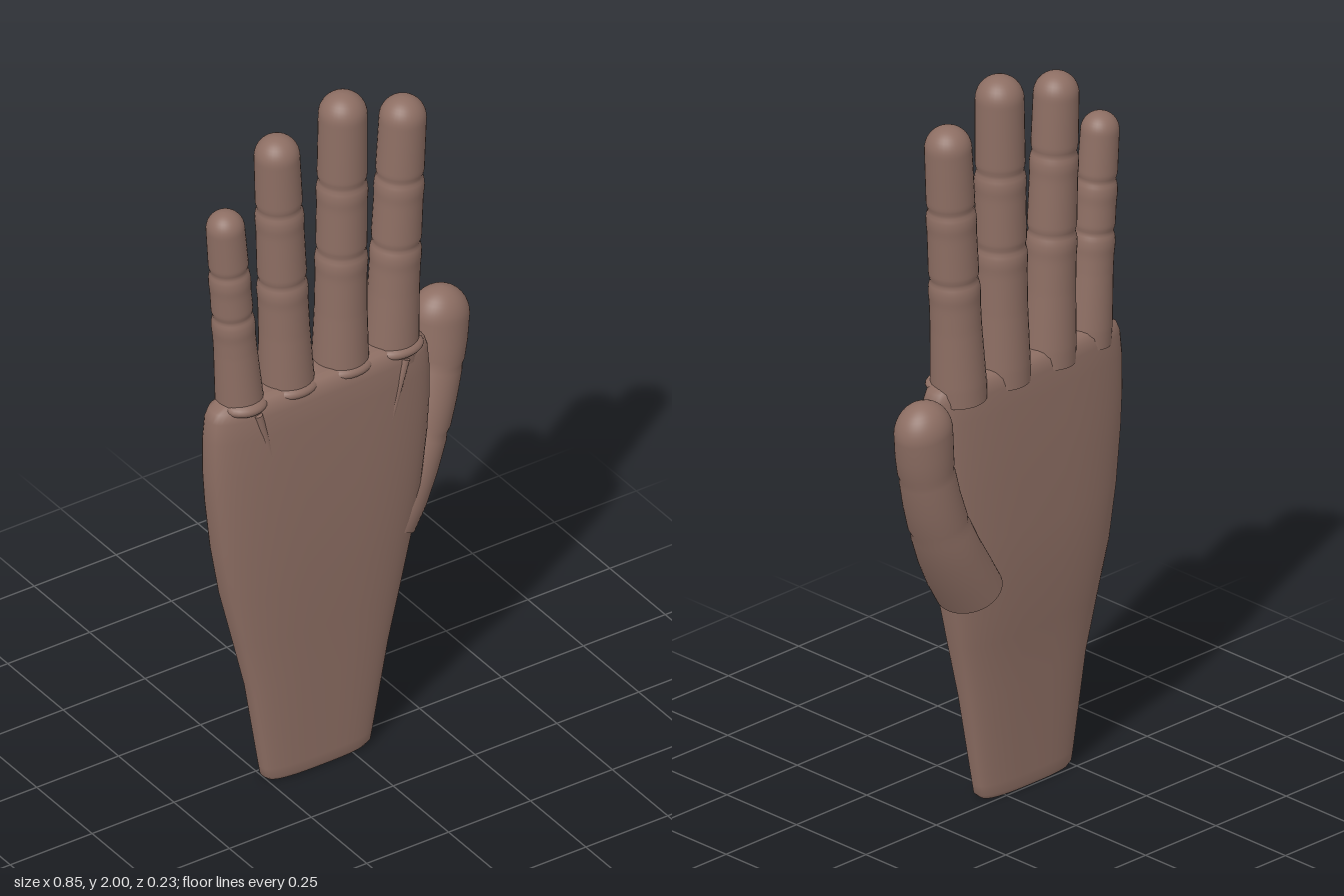
import * as THREE from 'three';

const SEG = 48;

// Skin through superelliptic rings [x, y, z, halfWidth, halfDepth, tilt], flat caps at both ends
function loft(rings, power) {
  const pos = [], idx = [];
  const shape = (t) => Math.sign(t) * Math.pow(Math.abs(t), 2 / power);
  const addRing = ([x, y, z, w, d, tilt = 0]) => {
    for (let j = 0; j < SEG; j++) {
      const a = (j / SEG) * Math.PI * 2;
      const u = shape(Math.cos(a)) * w;
      pos.push(x + u * Math.cos(tilt), y - u * Math.sin(tilt), z + shape(Math.sin(a)) * d);
    }
  };
  rings.forEach(addRing);
  for (let i = 0; i < rings.length - 1; i++) {
    for (let j = 0; j < SEG; j++) {
      const a = i * SEG + j, b = i * SEG + (j + 1) % SEG;
      idx.push(a, a + SEG, b, b, a + SEG, b + SEG);
    }
  }
  [rings[0], rings[rings.length - 1]].forEach((r, end) => {
    const start = pos.length / 3;
    addRing(r);
    pos.push(r[0], r[1], r[2]);
    for (let j = 0; j < SEG; j++) {
      const a = start + j, b = start + (j + 1) % SEG;
      idx.push(start + SEG, end ? b : a, end ? a : b);
    }
  });
  const g = new THREE.BufferGeometry();
  g.setAttribute('position', new THREE.Float32BufferAttribute(pos, 3));
  g.setIndex(idx);
  g.computeVertexNormals();
  return g;
}

// Finger: tapered lathe with two joint creases and a round tip
function fingerGeometry(length, r0, r1, joints) {
  const pts = [];
  const body = length - r1;
  const steps = 90;
  for (let i = 0; i <= steps; i++) {
    const y = -0.05 + (body + 0.05) * i / steps;
    let r = THREE.MathUtils.lerp(r0, r1, Math.max(0, y / body));
    if (y < 0.15) r += 0.004 * (1 - Math.max(0, y) / 0.15);
    for (const c of joints) {
      r -= 0.004 * Math.exp(-(((y - c) / 0.01) ** 2));
      r += 0.002 * Math.exp(-(((y - c + 0.035) / 0.02) ** 2));
    }
    pts.push(new THREE.Vector2(r, y));
  }
  for (let i = 1; i <= 10; i++) {
    const a = (i / 10) * Math.PI / 2;
    pts.push(new THREE.Vector2(i === 10 ? 0 : r1 * Math.cos(a), body + r1 * Math.sin(a)));
  }
  return new THREE.LatheGeometry(pts, 32);
}

export function createModel() {
  const group = new THREE.Group();
  const skin = new THREE.MeshStandardMaterial({ color: 0x8d6e63 });
  skin.name = 'skin brown';
  const add = (name, geometry) => {
    const mesh = new THREE.Mesh(geometry, skin);
    mesh.name = name;
    group.add(mesh);
    return mesh;
  };

  // Palm and wrist: [y, xMin, xMax, zMin, zMax]
  const palm = [
    [0, -0.245, 0.055, 0.005, 0.07], [0.012, -0.258, 0.068, 0, 0.077],
    [0.04, -0.263, 0.073, -0.002, 0.079], [0.3, -0.305, 0.12, -0.012, 0.09],
    [0.45, -0.34, 0.155, -0.025, 0.099], [0.6, -0.375, 0.19, -0.04, 0.107],
    [0.75, -0.402, 0.217, -0.042, 0.113], [0.9, -0.42, 0.235, -0.041, 0.115],
    [1.0, -0.428, 0.241, -0.038, 0.115], [1.1, -0.429, 0.241, -0.034, 0.114],
    [1.16, -0.424, 0.236, -0.03, 0.111], [1.185, -0.413, 0.228, -0.025, 0.104],
    [1.2, -0.39, 0.21, -0.013, 0.092], [1.205, -0.36, 0.18, 0, 0.075],
  ];
  add('palm', loft(palm.map(([y, x0, x1, z0, z1]) =>
    [(x0 + x1) / 2, y, (z0 + z1) / 2, (x1 - x0) / 2, (z1 - z0) / 2]), 2.9));

  // Fingers: name, base x, tip x, tip y, base and tip radii, joint heights
  const fingers = [
    ['littleFinger', -0.325, -0.367, 1.78, 0.058, 0.05, [1.46, 1.6], 0.035],
    ['ringFinger', -0.178, -0.206, 1.945, 0.068, 0.059, [1.51, 1.73], 0.03],
    ['middleFinger', -0.013, -0.005, 2.0, 0.069, 0.063, [1.53, 1.74], 0.03],
    ['indexFinger', 0.142, 0.178, 1.92, 0.068, 0.061, [1.49, 1.69], 0.03],
  ];
  for (const [name, x0, x1, top, r0, r1, joints, z] of fingers) {
    const finger = add(name, fingerGeometry(top - 1.2, r0, r1, joints.map((y) => y - 1.2)));
    finger.position.set(x0, 1.2, z);
    finger.rotation.z = -Math.atan2(x1 - x0, top - 1.2 - r1);

    // Knuckle swelling at the root of the finger
    const knuckle = add(name + 'Knuckle', new THREE.SphereGeometry(1, 24, 16));
    knuckle.scale.set(r0 * 1.05, 0.024, 0.05);
    knuckle.position.set(x0, 1.188, 0.062);
  }

  // Tendons fanning over the back of the hand, nearly flush with the skin
  const tendons = [
    [-0.31, -0.18, 0.011], [-0.17, -0.13, 0.007], [-0.02, -0.06, 0.007], [0.14, 0.0, 0.011],
  ];
  tendons.forEach(([xTop, xLow, r], i) => {
    const from = new THREE.Vector3(xLow, 0.68, 0.103);
    const to = new THREE.Vector3(xTop, 1.17, 0.1);
    const dir = to.clone().sub(from);
    const tendon = add('tendon' + (i + 1), new THREE.CylinderGeometry(r, 0.004, dir.length(), 12));
    tendon.position.copy(from).add(to).multiplyScalar(0.5);
    tendon.quaternion.setFromUnitVectors(new THREE.Vector3(0, 1, 0), dir.normalize());
  });

  // Thumb: flat-ended root, two creases and a round tip
  const thumb = [
    [0.143, 0.63, -0.008, 0.083, 0.098, 0.51], [0.18, 0.69, -0.012, 0.083, 0.098, 0.5],
    [0.225, 0.765, -0.021, 0.08, 0.092, 0.47], [0.262, 0.838, -0.029, 0.076, 0.085, 0.42],
    [0.27, 0.855, -0.03, 0.071, 0.08, 0.4], [0.277, 0.872, -0.031, 0.075, 0.083, 0.38],
    [0.302, 0.94, -0.036, 0.074, 0.078, 0.34], [0.322, 1.01, -0.041, 0.073, 0.074, 0.28],
    [0.326, 1.025, -0.042, 0.07, 0.071, 0.27], [0.33, 1.04, -0.043, 0.074, 0.074, 0.26],
    [0.338, 1.09, -0.046, 0.078, 0.073, 0.22],
  ];
  for (let i = 0; i <= 10; i++) {
    const a = (i / 10) * Math.PI / 2;
    const c = Math.max(Math.cos(a), 0.02), s = Math.sin(a);
    thumb.push([0.344 + 0.012 * s, 1.145 + 0.083 * s, -0.049, 0.08 * c, 0.071 * c, 0.18]);
  }
  add('thumb', loft(thumb, 2));

  return group;
}
